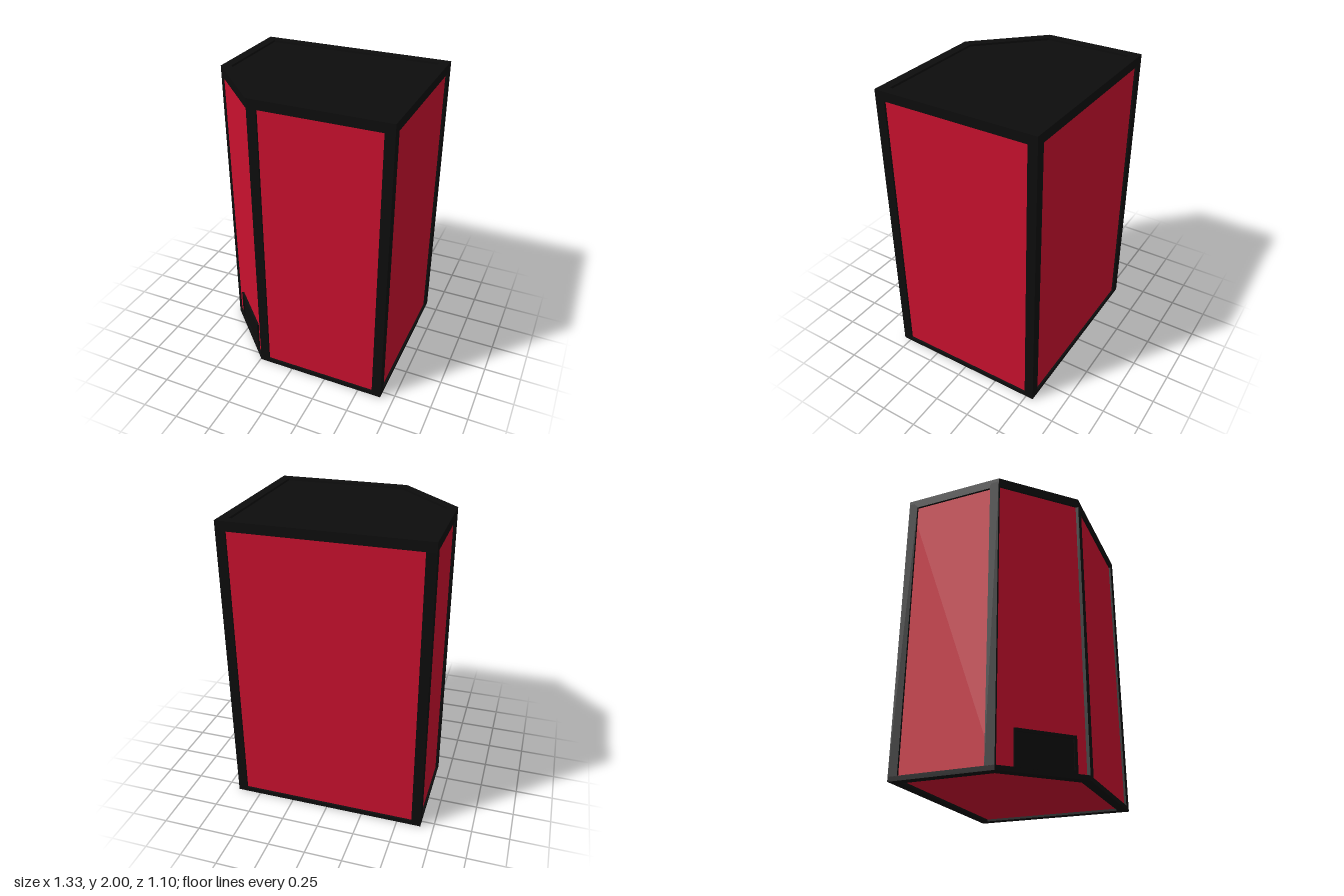
import * as THREE from 'three';

const red = new THREE.MeshStandardMaterial({ color: 0xc8102e });
const black = new THREE.MeshStandardMaterial({ color: 0x0d0d0d });

// Footprint corners as (x, -z), counter-clockwise, with one cut front corner
const footprint = [
  [-0.663, -0.13], [-0.245, -0.552], [0.663, -0.552], [0.663, 0.552], [-0.663, 0.552],
].map(([x, y]) => new THREE.Vector2(x, y));

// Move every edge of the footprint inwards by d
function inset(points, d) {
  const n = points.length;
  return points.map((p, i) => {
    const a = p.clone().sub(points[(i + n - 1) % n]).normalize();
    const b = points[(i + 1) % n].clone().sub(p).normalize();
    const k = d / a.cross(b);
    return p.clone().addScaledVector(b, k).addScaledVector(a, -k);
  });
}

function addMesh(group, name, geometry, material, x = 0, y = 0, z = 0) {
  const mesh = new THREE.Mesh(geometry, material);
  mesh.name = name;
  mesh.position.set(x, y, z);
  group.add(mesh);
  return mesh;
}

// Upright prism over an outline, optionally with a hole
function prism(outline, height, hole) {
  const shape = new THREE.Shape(outline);
  if (hole) shape.holes.push(new THREE.Path(hole));
  return new THREE.ExtrudeGeometry(shape, { depth: height, bevelEnabled: false }).rotateX(-Math.PI / 2);
}

export function createModel() {
  const model = new THREE.Group();
  model.name = 'cabinet';
  const recess = 0.014;
  const bar = 0.063;

  // Red body, set back behind the frame on the sides and underneath
  const core = inset(footprint, recess);
  addMesh(model, 'body', prism(core, 1.94 - recess, null), red, 0, recess, 0);

  // Black lid sunk just below the top rim
  addMesh(model, 'lid', prism(core, 0.046, null), black, 0, 1.94, 0);

  // Rims around the top and the base
  const inner = inset(footprint, bar);
  addMesh(model, 'topRim', prism(footprint, bar, inner), black, 0, 2 - bar, 0);
  addMesh(model, 'baseRim', prism(footprint, 0.03, inner), black);

  // Square corner posts
  const posts = [
    ['frontLeftPost', 0.663 - bar / 2, 0.552 - bar / 2],
    ['backLeftPost', 0.663 - bar / 2, -0.552 + bar / 2],
    ['backRightPost', -0.663 + bar / 2, -0.552 + bar / 2],
    ['sideCutPost', -0.663 + bar / 2, 0.13 - bar / 2],
    ['frontCutPost', -0.245 + bar / 2, 0.552 - bar / 2],
  ];
  for (const [name, x, z] of posts) {
    addMesh(model, name, new THREE.BoxGeometry(bar, 1.95, bar), black, x, 1, z);
  }

  // Framed hatch low on the cut corner
  const hatch = new THREE.Group();
  hatch.name = 'hatch';
  const w = 0.2, h = 0.116, t = 0.02;
  const rect = (a, b) => [[-a, -b], [a, -b], [a, b], [-a, b]].map(([x, y]) => new THREE.Vector2(x, y));
  const frame = new THREE.Shape(rect(w, h));
  frame.holes.push(new THREE.Path(rect(w - t, h - t)));
  addMesh(hatch, 'hatchFrame', new THREE.ExtrudeGeometry(frame, { depth: 0.025, bevelEnabled: false }), black, 0, 0, -0.025);
  addMesh(hatch, 'hatchPlate', new THREE.BoxGeometry(2 * (w - t), 2 * (h - t), 0.02), black, 0, 0, -0.018);
  hatch.position.set(-0.44, 0.144, 0.355);
  hatch.rotation.y = -Math.PI / 4;
  model.add(hatch);

  return model;
}
